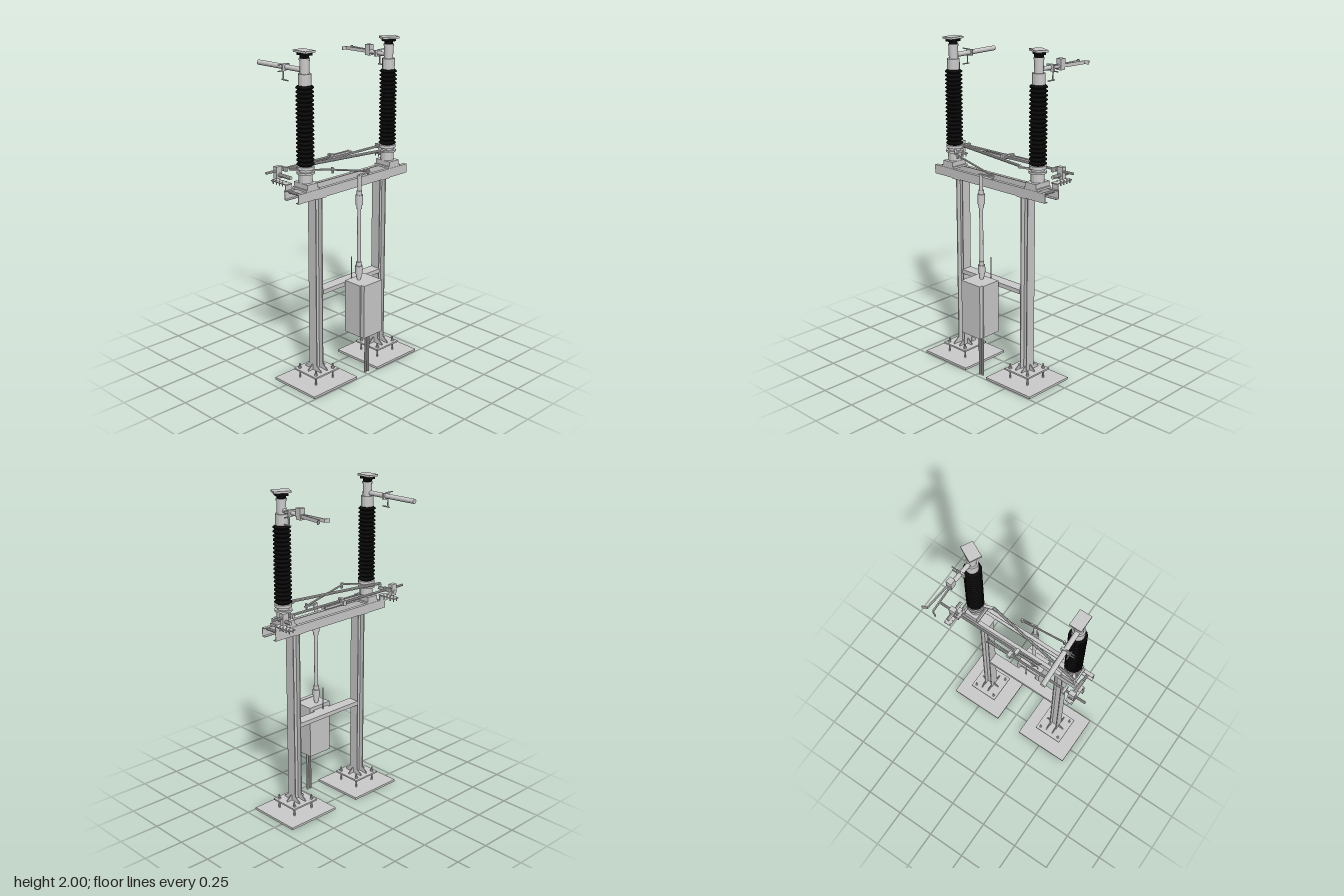
import * as THREE from 'three';

const grey = new THREE.MeshStandardMaterial({ color: 0xcccccc, flatShading: true, side: THREE.DoubleSide });
const black = new THREE.MeshStandardMaterial({ color: 0x0a0a0a, flatShading: true, side: THREE.DoubleSide });
const V = (x, y, z) => new THREE.Vector3(x, y, z);

function add(parent, name, geo, x = 0, y = 0, z = 0, mat = grey) {
  const m = new THREE.Mesh(geo, mat);
  m.name = name;
  m.position.set(x, y, z);
  parent.add(m);
  return m;
}
// Box given by its limits on each axis
function box(parent, name, x0, x1, y0, y1, z0, z1, mat) {
  return add(parent, name, new THREE.BoxGeometry(x1 - x0, y1 - y0, z1 - z0),
    (x0 + x1) / 2, (y0 + y1) / 2, (z0 + z1) / 2, mat);
}
// Upright cylinder from y0 to y1
function drum(parent, name, x, z, y0, y1, r, sides = 14, mat = grey, rTop = r) {
  return add(parent, name, new THREE.CylinderGeometry(rTop, r, y1 - y0, sides), x, (y0 + y1) / 2, z, mat);
}
// Round rod between two points
function rod(parent, name, a, b, r, sides = 10) {
  const m = add(parent, name, new THREE.CylinderGeometry(r, r, a.distanceTo(b), sides));
  m.position.copy(a).lerp(b, 0.5);
  m.quaternion.setFromUnitVectors(V(0, 1, 0), b.clone().sub(a).normalize());
  return m;
}
// Flat bar between two points, w across and h high
function strip(parent, name, a, b, w, h) {
  const m = add(parent, name, new THREE.BoxGeometry(w, h, a.distanceTo(b)));
  m.position.copy(a).lerp(b, 0.5);
  m.lookAt(b);
  return m;
}
// Two-pronged contact with flared tips, pointing along local +z
function fork(parent, name, length, spread, flare, height) {
  const g = new THREE.Group();
  g.name = name;
  for (const s of [-1, 1]) {
    const knee = V(s * spread, 0, length - 0.012);
    strip(g, 'prong', V(s * 0.006, 0, -0.02), knee, 0.006, height);
    strip(g, 'prongTip', knee, V(s * flare, 0, length), 0.006, height);
  }
  parent.add(g);
  return g;
}

const CX = 0.076, COL_Z = 0.265, INS_Z = 0.335;

function buildLeg(root, s) {
  const g = new THREE.Group();
  g.name = 'leg';
  g.position.set(CX, 0, s * COL_Z);
  root.add(g);
  box(g, 'groundPlate', -0.173, 0.169, 0, 0.014, -0.178, 0.178);
  box(g, 'footPlate', -0.095, 0.093, 0.066, 0.076, -0.094, 0.094);
  // H-section column
  for (const f of [-1, 1])
    box(g, 'columnFlange', -0.031, 0.031, 0.076, 1.165, f * 0.0245 - 0.003, f * 0.0245 + 0.003);
  box(g, 'columnWeb', -0.003, 0.003, 0.076, 1.165, -0.0215, 0.0215);
  // Triangular gussets
  const tri = new THREE.Shape([[0, 0], [0.038, 0], [0.038, 0.007], [0.006, 0.034], [0, 0.034]]
    .map(p => new THREE.Vector2(...p)));
  const gusset = new THREE.ExtrudeGeometry(tri, { depth: 0.005, bevelEnabled: false });
  for (const f of [-1, 1]) {
    for (const k of [0, Math.PI])
      add(g, 'gusset', gusset, k ? -0.031 : 0.031, 0.076, f * 0.024).rotation.y = k;
    add(g, 'gusset', gusset, 0, 0.076, f * 0.027).rotation.y = -f * Math.PI / 2;
  }
  // Anchor bolts with nuts
  for (const bx of [-0.07, 0.069]) for (const bz of [-0.07, 0.07]) {
    drum(g, 'anchorBolt', bx, bz, 0.014, 0.105, 0.005, 8);
    drum(g, 'anchorNut', bx, bz, 0.076, 0.086, 0.01, 6);
    drum(g, 'lowerNut', bx, bz, 0.056, 0.066, 0.01, 6);
  }
}

function buildInsulator(root, s) {
  const g = new THREE.Group();
  g.name = 'insulatorPost';
  g.position.set(CX - 0.002, 0, s * INS_Z);
  root.add(g);
  box(g, 'postFoot', -0.055, 0.059, 1.22, 1.232, -0.05, 0.05);
  box(g, 'bearingBlock', -0.055, 0.059, 1.232, 1.26, -0.04, 0.04);
  drum(g, 'bearing', 0, 0, 1.26, 1.31, 0.04);
  drum(g, 'turningFlange', 0, 0, 1.31, 1.322, 0.052);
  drum(g, 'neck', 0, 0, 1.322, 1.336, 0.038);
  drum(g, 'insulatorFlange', 0, 0, 1.336, 1.354, 0.05);
  // Ribbed insulator
  const pts = [new THREE.Vector2(0.001, 1.354)], n = 19, h = 0.455 / n;
  for (let i = 0; i < n; i++) {
    const y = 1.354 + i * h;
    pts.push(new THREE.Vector2(0.038, y), new THREE.Vector2(0.052, y + h * 0.4),
      new THREE.Vector2(0.051, y + h * 0.55));
  }
  pts.push(new THREE.Vector2(0.038, 1.809), new THREE.Vector2(0.001, 1.809));
  add(g, 'ribbedInsulator', new THREE.LatheGeometry(pts, 14), 0, 0, 0, black);
  // Head and terminal
  drum(g, 'capFlange', 0, 0, 1.805, 1.872, 0.037);
  drum(g, 'head', 0, 0, 1.872, 1.945, 0.027);
  drum(g, 'headRing', 0, 0, 1.945, 1.956, 0.031);
  drum(g, 'terminalStem', 0, 0, 1.956, 1.988, 0.026, 10, black);
  const pad = new THREE.Group();
  pad.name = 'terminalPad';
  pad.rotation.y = s > 0 ? 0 : 1.1;
  g.add(pad);
  box(pad, 'terminalPlate', -0.05, 0.05, 1.988, 2, -0.034, 0.038);
  for (const k of [-1, 1]) box(pad, 'terminalClamp', k * 0.026 - 0.01, k * 0.026 + 0.01, 1.972, 1.988, -0.025, 0.025, black);
}

// Main current arms, closing contact and earthing horns
function buildArms(root) {
  const y = 1.89;
  rod(root, 'frontArm', V(CX, y, 0.337), V(-0.285, y, 0.353), 0.0145, 14);
  rod(root, 'backArm', V(CX, y, -0.335), V(-0.1, y, -0.346), 0.0125, 14);
  box(root, 'contactClamp', -0.112, -0.076, 1.868, 1.932, -0.364, -0.33);
  const f = fork(root, 'armFork', 0.175, 0.018, 0.044, 0.02);
  f.position.set(-0.107, y, -0.348);
  f.rotation.y = -Math.PI / 2 - 0.02;
  for (const [x, z, s] of [[-0.068, 0.345, 1], [-0.017, -0.34, -1]]) {
    strip(root, 'hornClamp', V(x, y, z - 0.026), V(x, y, z + 0.026), 0.01, 0.036);
    rod(root, 'hornStem', V(x, y, z + s * 0.018), V(x, 1.82, z + s * 0.018), 0.004, 8);
    rod(root, 'hornBar', V(x - 0.012, 1.822, z + s * 0.018), V(x + 0.04, 1.822, z + s * 0.018), 0.004, 8);
    for (const hy of [1.872, 1.908]) rod(root, 'hornPin', V(x, hy, z), V(x, hy, z + s * 0.055), 0.0035, 8);
  }
}

// Lowered earthing blade with its bracket; s is the end it pivots at
function buildEarthBlade(root, s, x, tipSpread) {
  const y = 1.315, g = new THREE.Group();
  g.name = 'earthingSwitch';
  root.add(g);
  const inner = s > 0 ? 0 : 0.025;
  rod(g, 'earthingBlade', V(x, y, s * 0.507), V(x, y, inner), 0.0075);
  box(g, 'bladeClamp', x - 0.018, x + 0.018, 1.3, 1.33, inner - 0.011, inner + 0.011);
  const f = fork(g, 'bladeFork', 0.155, tipSpread * 0.5, tipSpread, 0.014);
  f.position.set(x, y, inner);
  if (s > 0) f.rotation.y = Math.PI;
  box(g, 'pivotClamp', x - 0.025, x + 0.025, 1.303, 1.327, s * 0.372 - 0.007, s * 0.372 + 0.007);
  rod(g, 'pivotShaft', V(-0.085, 1.292, s * 0.42), V(0.045, 1.292, s * 0.42), 0.011);
  box(g, 'pivotBlock', x - 0.014, x + 0.014, 1.27, 1.34, s * 0.42 - 0.02, s * 0.42 + 0.02);
  box(g, 'bracketPlate', -0.098, 0.03, 1.25, 1.256, s * 0.42 - 0.022, s * 0.42 + 0.022);
  box(g, 'bracketLeg', 0.018, 0.024, 1.2, 1.256, s * 0.42 - 0.022, s * 0.42 + 0.022);
  for (let i = 0; i < 4; i++) for (const k of [-1, 1])
    drum(g, 'bracketBolt', -0.088 + i * 0.026, s * 0.42 + k * 0.014, 1.235, 1.262, 0.0035, 6);
}

function buildDrive(root) {
  // Levers and rod that turn both posts together
  strip(root, 'backLever', V(CX, 1.328, -INS_Z), V(0.112, 1.328, -0.225), 0.018, 0.008);
  strip(root, 'frontLever', V(CX, 1.328, INS_Z), V(0, 1.328, 0.392), 0.018, 0.008);
  rod(root, 'couplingRod', V(0.11, 1.336, -0.235), V(0.004, 1.336, 0.385), 0.0085);
  strip(root, 'driveLever', V(CX, 1.328, INS_Z), V(0.167, 1.328, 0.222), 0.014, 0.008);
  rod(root, 'driveLink', V(0.166, 1.33, 0.235), V(0.166, 1.255, -0.083), 0.0055);
  for (const [ly, lz] of [[1.325, 0.215], [1.257, -0.075]])
    drum(root, 'linkPin', 0.166, lz, ly - 0.02, ly + 0.015, 0.007, 8);
  strip(root, 'shaftCrank', V(0.168, 1.252, -0.083), V(0.18, 1.252, 0.02), 0.016, 0.008);
  // Vertical drive shaft and couplings
  drum(root, 'driveShaft', 0.178, 0.01, 0.6, 1.255, 0.0115);
  for (const [a, b] of [[0.645, 0.695], [1.075, 1.135]]) {
    drum(root, 'shaftCoupling', 0.178, 0.01, a, b, 0.022);
    drum(root, 'couplingNeck', 0.178, 0.01, a - 0.025, b + 0.025, 0.016);
  }
  // Control cabinet with door, conduits and rod on the brace
  box(root, 'cabinet', 0.133, 0.257, 0.278, 0.607, -0.084, 0.08);
  box(root, 'cabinetDoor', 0.257, 0.284, 0.275, 0.61, -0.079, 0.073);
  for (const z of [-0.012, -0.033]) drum(root, 'conduit', 0.218, z, 0, 0.278, 0.008, 10);
  rod(root, 'braceRod', V(0.107, 0.56, 0), V(0.107, 0.728, 0), 0.003, 6);
  box(root, 'cabinetMount', 0.1, 0.135, 0.56, 0.585, -0.06, 0.06);
}

export function createModel() {
  const root = new THREE.Group();
  root.name = 'disconnectSwitch';
  for (const s of [-1, 1]) {
    buildLeg(root, s);
    buildInsulator(root, s);
    // Channel beam, open towards the middle
    const w = CX + s * 0.057;
    const inner = w - s * 0.02;
    box(root, 'beamWeb', w - 0.002, w + 0.002, 1.165, 1.22, -0.444, 0.446);
    for (const y of [1.165, 1.216])
      box(root, 'beamFlange', Math.min(w, inner), Math.max(w, inner), y, y + 0.004, -0.444, 0.446);
    box(root, 'columnCap', 0.022, 0.133, 1.16, 1.166, s * COL_Z - 0.035, s * COL_Z + 0.035);
    // Cross tie near the beam end
    rod(root, 'beamTie', V(0.022, 1.207, s * 0.411), V(0.133, 1.207, s * 0.411), 0.009);
  }
  box(root, 'braceTop', 0.044, 0.115, 0.581, 0.586, -0.24, 0.24);
  for (const x of [0.044, 0.111]) box(root, 'braceSide', x, x + 0.004, 0.56, 0.583, -0.24, 0.24);
  buildArms(root);
  buildEarthBlade(root, 1, -0.065, 0.014);
  buildEarthBlade(root, -1, -0.03, 0.018);
  buildDrive(root);
  return root;
}
